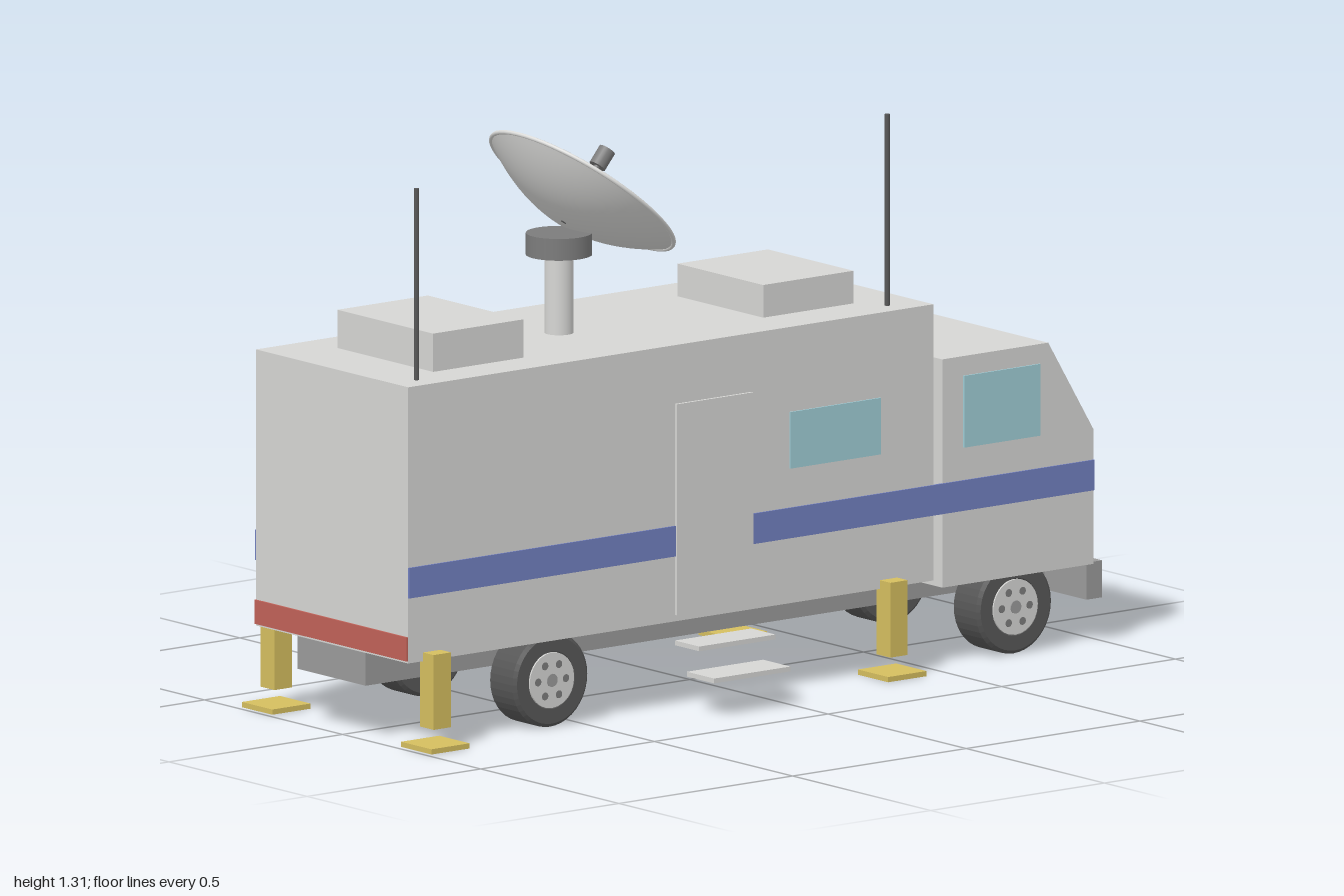
import * as THREE from 'three';

const mat = (name, color) => Object.assign(new THREE.MeshStandardMaterial({ color }), { name });

export function createModel() {
  const paint = mat('body paint', 0xd6d6d4);
  const blue = mat('stripe blue', 0x7280c0);
  const glass = mat('window glass', 0x9fcdd6);
  const yellow = mat('jack yellow', 0xd5be5f);
  const grey = mat('chassis grey', 0x9a9a9a);
  const metal = mat('dark metal', 0x7c7c7c);
  const black = mat('rubber black', 0x585858);
  const red = mat('tail light red', 0xc06258);
  const dishPaint = mat('dish white', 0xdededc);
  dishPaint.side = THREE.DoubleSide;

  // Everything is laid out around the vehicle's centre line, then shifted
  const root = new THREE.Group();
  root.name = 'broadcastTruck';
  const truck = new THREE.Group();
  truck.name = 'truck';
  truck.position.z = -0.04;
  root.add(truck);
  const W = 0.275;

  const add = (name, geo, m, parent = truck) => {
    const mesh = new THREE.Mesh(geo, m);
    mesh.name = name;
    parent.add(mesh);
    return mesh;
  };
  // Box given by its limits on each axis
  const box = (name, m, [x0, x1], [y0, y1], [z0, z1], parent) => {
    const b = add(name, new THREE.BoxGeometry(x1 - x0, y1 - y0, z1 - z0), m, parent);
    b.position.set((x0 + x1) / 2, (y0 + y1) / 2, (z0 + z1) / 2);
    return b;
  };
  // Thin plate on a side wall
  const sidePlate = (name, m, side, x, y, t = 0.004) =>
    box(name, m, x, y, side > 0 ? [W - 0.002, W + t] : [-W - t, -W + 0.002]);

  // Chassis, box body and cab
  box('chassis', grey, [-1, 0.96], [0.125, 0.2], [-0.123, 0.123]);
  box('boxBody', paint, [-0.998, 0.515], [0.2, 0.835], [-W, W]);
  const profile = new THREE.Shape([
    [0.54, 0.18], [0.975, 0.18], [0.975, 0.49], [0.845, 0.705], [0.54, 0.705],
  ].map(([x, y]) => new THREE.Vector2(x, y)));
  add('cab', new THREE.ExtrudeGeometry(profile, { depth: 2 * W, bevelEnabled: false }), paint).position.z = -W;
  box('frontBumper', grey, [0.955, 1], [0.1, 0.185], [-W, W]);
  box('tailLightBar', red, [-1.003, -0.99], [0.205, 0.26], [-W, W]);

  // Cab front: windscreen, grille and lamps
  const screen = add('windscreen', new THREE.BoxGeometry(0.008, 0.204, 0.495), glass);
  screen.position.set(0.913, 0.5925, 0);
  screen.rotation.z = Math.atan2(0.13, 0.215);
  box('grille', black, [0.973, 0.98], [0.21, 0.34], [-0.12, 0.12]);
  for (const s of [-1, 1]) {
    const z = [0.155 * s, 0.24 * s].sort((a, b) => a - b);
    box('headlight', paint, [0.973, 0.981], [0.265, 0.315], z);
  }

  // Side stripes, broken by the door on the left-hand wall
  sidePlate('stripe', blue, 1, [-0.998, -0.23], [0.35, 0.42]);
  sidePlate('stripe', blue, 1, [-0.01, 0.975], [0.35, 0.42]);
  sidePlate('stripe', blue, -1, [-0.998, 0.975], [0.35, 0.42]);
  sidePlate('door', paint, 1, [-0.23, -0.01], [0.215, 0.7], 0.007);

  // Side windows
  for (const s of [-1, 1]) {
    sidePlate('cabWindow', glass, s, [0.6, 0.82], [0.495, 0.66]);
    sidePlate('bodyWindow', glass, s, [0.1, 0.36], [0.51, 0.64]);
  }
  for (const x of [-0.49, -0.845]) sidePlate('bodyWindow', glass, -1, [x, x + 0.26], [0.51, 0.64]);

  // Entry steps
  box('upperStep', paint, [-0.23, -0.01], [0.145, 0.156], [W, 0.363]);
  box('lowerStep', paint, [-0.23, -0.01], [0.08, 0.091], [0.318, 0.417]);

  // Roof units and whip antennas
  box('rearRoofUnit', paint, [-0.845, -0.585], [0.83, 0.923], [-0.173, 0.173]);
  box('frontRoofUnit', paint, [0.12, 0.38], [0.83, 0.91], [-0.155, 0.155]);
  for (const x of [-0.93, 0.425]) {
    add('antenna', new THREE.CylinderGeometry(0.006, 0.006, 0.445, 12), black).position.set(x, 1.0525, 0.22);
  }

  // Stabiliser jacks
  for (const x of [-0.93, 0.385]) for (const s of [-1, 1]) {
    const jack = new THREE.Group();
    jack.name = 'stabiliserJack';
    jack.position.set(x, 0, 0.288 * s);
    truck.add(jack);
    box('jackLeg', yellow, [-0.025, 0.025], [0.048, 0.22], [-0.025, 0.025], jack);
    box('jackFoot', yellow, [-0.055, 0.055], [0, 0.012], [-0.055, 0.055], jack);
  }

  // Wheels, with the outer face towards local +z
  const tyre = new THREE.LatheGeometry([
    [0, -0.047], [0.1, -0.047], [0.108, -0.04], [0.108, 0.04], [0.1, 0.047], [0.066, 0.047], [0.062, 0.04], [0, 0.04],
  ].map(([r, y]) => new THREE.Vector2(r, y)), 40).toNonIndexed();
  tyre.rotateX(Math.PI / 2);
  tyre.computeVertexNormals();
  for (const x of [-0.58, 0.755]) for (const s of [-1, 1]) {
    const wheel = new THREE.Group();
    wheel.name = 'wheel';
    wheel.position.set(x, 0.108, 0.222 * s);
    if (s < 0) wheel.rotation.y = Math.PI;
    truck.add(wheel);
    add('tyre', tyre, black, wheel);
    const disc = (name, r, m, px, py, z) => {
      const d = add(name, new THREE.CylinderGeometry(r, r, 0.008, 24), m, wheel);
      d.rotation.x = Math.PI / 2;
      d.position.set(px, py, z);
    };
    disc('hub', 0.064, paint, 0, 0, 0.044);
    disc('hubCap', 0.015, grey, 0, 0, 0.046);
    for (let i = 0; i < 6; i++) {
      const a = (i * Math.PI) / 3;
      disc('hubHole', 0.009, metal, 0.04 * Math.cos(a), 0.04 * Math.sin(a), 0.0447);
    }
  }

  // Dish mast and turntable
  add('dishMast', new THREE.CylinderGeometry(0.033, 0.033, 0.2, 32), paint).position.set(-0.345, 0.93, 0);
  add('dishTurntable', new THREE.CylinderGeometry(0.075, 0.075, 0.05, 40), metal).position.set(-0.345, 1.04, 0);

  // Tilted dish: local y is the dish axis, origin at the bottom of the bowl
  const dish = new THREE.Group();
  dish.name = 'satelliteDish';
  dish.position.set(-0.332, 1.087, 0);
  dish.rotation.z = -Math.atan2(0.641, 0.767);
  truck.add(dish);
  const R = 0.238, D = 0.085;
  const bowl = Array.from({ length: 17 }, (_, i) => new THREE.Vector2((R * i) / 16, D * (i / 16) ** 2));
  add('dishBowl', new THREE.LatheGeometry(bowl, 56), dishPaint, dish);
  const rim = add('dishRim', new THREE.TorusGeometry(R, 0.005, 8, 56), dishPaint, dish);
  rim.rotation.x = Math.PI / 2;
  rim.position.y = D;
  add('feedArm', new THREE.CylinderGeometry(0.007, 0.007, 0.16, 12), metal, dish).position.y = 0.08;
  add('feedHorn', new THREE.CylinderGeometry(0.02, 0.02, 0.045, 24), metal, dish).position.y = 0.174;

  return root;
}
